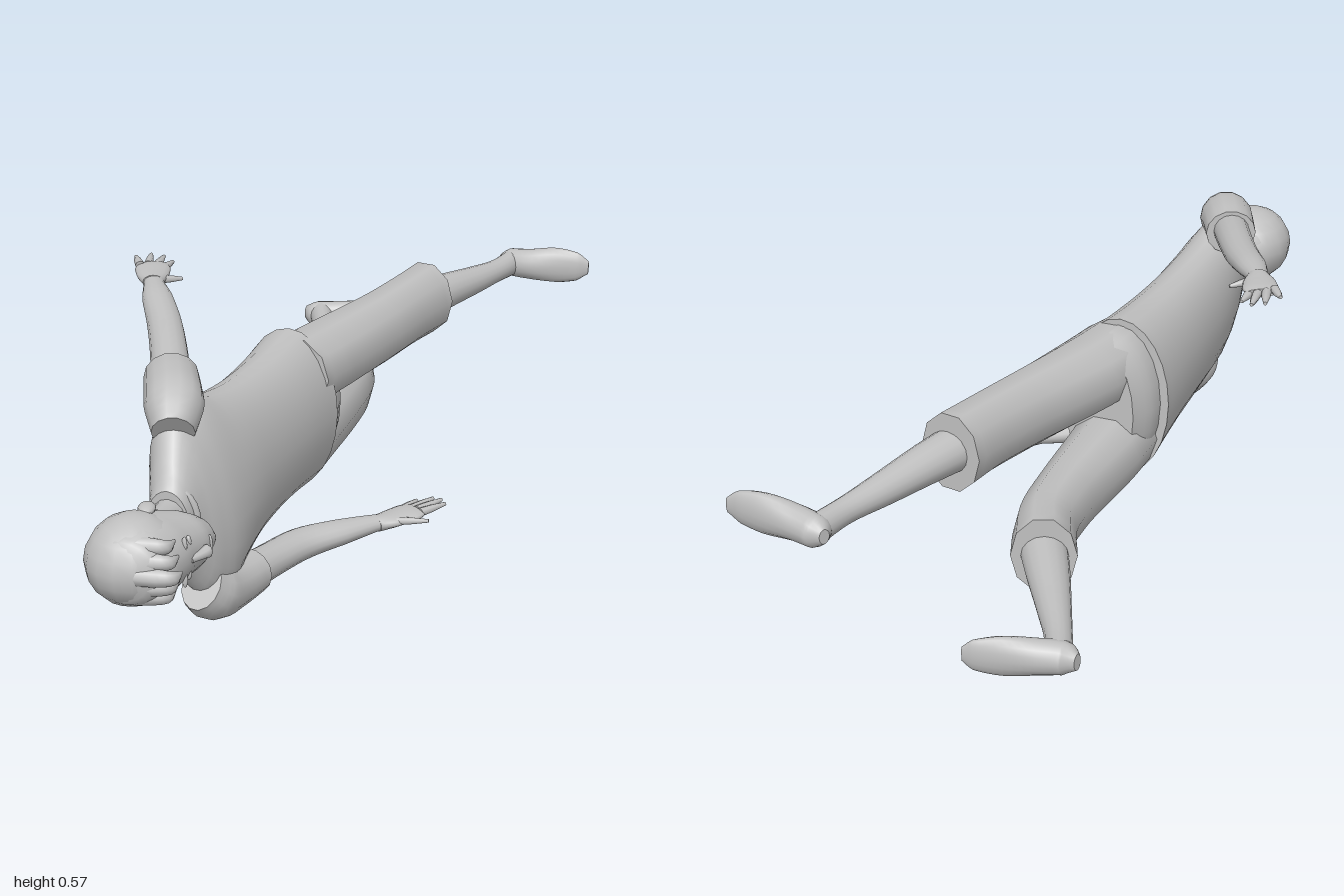
import * as THREE from 'three';
import { mergeGeometries } from 'three/addons/utils/BufferGeometryUtils.js';

// Smooth loft through elliptical sections [x, y, z, radiusAcross, radiusUp, roll].
// Rings follow the path unless a fixed direction is given. Both ends are capped.
function loft(sections, { sides = 16, steps = 4, dir = null } = {}) {
  const path = new THREE.CatmullRomCurve3(sections.map(s => new THREE.Vector3(s[0], s[1], s[2])));
  const size = new THREE.CatmullRomCurve3(sections.map(s => new THREE.Vector3(s[3], s[4] ?? s[3], s[5] ?? 0)));
  const n = (sections.length - 1) * steps;
  const rings = [], centres = [];
  for (let i = 0; i <= n; i++) {
    const c = path.getPoint(i / n), r = size.getPoint(i / n);
    const t = dir ? dir.clone() : path.getTangent(i / n);
    const v = new THREE.Vector3(0, 1, 0).addScaledVector(t, -t.y).normalize().applyAxisAngle(t, r.z);
    const u = v.clone().cross(t);
    centres.push(c);
    rings.push(Array.from({ length: sides }, (_, j) => {
      const a = j / sides * Math.PI * 2;
      return c.clone().addScaledVector(u, Math.cos(a) * r.x).addScaledVector(v, Math.sin(a) * r.y);
    }));
  }
  const make = (points, index) => {
    const g = new THREE.BufferGeometry().setFromPoints(points);
    g.setIndex(index);
    g.computeVertexNormals();
    return g;
  };
  const side = [], first = [], last = [];
  for (let j = 0; j < sides; j++) {
    const k = (j + 1) % sides;
    for (let i = 0; i < n; i++) {
      const a = i * sides, b = a + sides;
      side.push(a + j, a + k, b + k, a + j, b + k, b + j);
    }
    first.push(sides, k, j);
    last.push(sides, j, k);
  }
  return mergeGeometries([
    make(rings.flat(), side),
    make([...rings[0], centres[0]], first),
    make([...rings[n], centres[n]], last),
  ]);
}

export function createModel() {
  const model = new THREE.Group();
  model.name = 'lyingFigure';
  const grey = new THREE.MeshStandardMaterial({ color: 0xc0c0c0 });
  grey.name = 'plainGrey';
  const alongZ = new THREE.Vector3(0, 0, 1);

  const add = (name, geometry) => {
    const mesh = new THREE.Mesh(geometry, grey);
    mesh.name = name;
    model.add(mesh);
    return mesh;
  };
  const ball = (name, p, s) => {
    const mesh = add(name, new THREE.SphereGeometry(1, 16, 10));
    mesh.position.set(...p);
    mesh.scale.set(...s);
    return mesh;
  };

  // Shirt, turned a little at the shoulders
  add('shirt', loft([
    [-0.047, 0.255, -0.018, 0.116, 0.19, 0],
    [-0.047, 0.255, 0.12, 0.106, 0.178, 0.02],
    [-0.047, 0.255, 0.3, 0.096, 0.178, 0.08],
    [-0.044, 0.258, 0.45, 0.093, 0.195, 0.16],
    [-0.042, 0.262, 0.55, 0.084, 0.222, 0.2],
    [-0.042, 0.266, 0.62, 0.068, 0.19, 0.2],
    [-0.042, 0.268, 0.67, 0.054, 0.12, 0.15],
    [-0.042, 0.268, 0.71, 0.046, 0.07, 0],
  ], { sides: 24, dir: alongZ }));
  const collar = add('collar', new THREE.TorusGeometry(0.058, 0.009, 8, 24));
  collar.position.set(-0.038, 0.268, 0.69);
  collar.scale.set(0.85, 1.15, 1);
  collar.rotation.y = 0.25;

  // Sleeves
  add('rightSleeve', loft([
    [-0.062, 0.43, 0.625, 0.045, 0.055],
    [-0.08, 0.468, 0.575, 0.062, 0.062],
    [-0.105, 0.482, 0.52, 0.06, 0.056],
    [-0.135, 0.483, 0.455, 0.058, 0.053],
  ], { sides: 14 }));
  add('leftSleeve', loft([
    [-0.008, 0.1, 0.62, 0.045, 0.055],
    [0.0, 0.068, 0.575, 0.06, 0.062],
    [0.012, 0.057, 0.51, 0.056, 0.056],
    [0.03, 0.056, 0.43, 0.052, 0.05],
  ], { sides: 14 }));

  // Bare arms
  add('rightArm', loft([
    [-0.125, 0.483, 0.48, 0.042, 0.04],
    [-0.18, 0.505, 0.36, 0.04, 0.036],
    [-0.235, 0.523, 0.25, 0.038, 0.032],
    [-0.29, 0.542, 0.155, 0.034, 0.025],
    [-0.328, 0.553, 0.085, 0.023, 0.016],
    [-0.338, 0.556, 0.06, 0.024, 0.013],
  ]));
  add('leftArm', loft([
    [0.025, 0.055, 0.45, 0.042, 0.04],
    [0.045, 0.048, 0.34, 0.042, 0.036],
    [0.075, 0.046, 0.24, 0.044, 0.033],
    [0.135, 0.05, 0.165, 0.038, 0.027],
    [0.2, 0.054, 0.095, 0.023, 0.018],
    [0.215, 0.055, 0.08, 0.023, 0.014],
  ]));

  // Hands: a flat palm, four fingers and a thumb, each given as [base, tip] in x, z
  const hand = (name, y, slope, palm, fingers) => {
    const height = x => y + slope * x;
    add(name + 'Palm', loft(palm.map(([x, z, w, h]) => [x, height(x), z, w, h])));
    fingers.forEach(([x0, z0, x1, z1], i) => {
      const mid = (x0 + x1) / 2;
      add(name + (i ? 'Finger' + i : 'Thumb'), loft([
        [x0, height(x0), z0, 0.011, 0.01],
        [mid, height(mid), (z0 + z1) / 2, 0.009, 0.008],
        [x1, height(x1), z1, 0.004, 0.004],
      ], { sides: 8, steps: 3 }));
    });
  };
  hand('rightHand', 0.505, -0.15,
    [[-0.33, 0.085, 0.023, 0.016], [-0.345, 0.05, 0.036, 0.014], [-0.362, 0.01, 0.04, 0.012], [-0.372, -0.012, 0.034, 0.009]],
    [[-0.325, 0.06, -0.286, 0.022], [-0.345, -0.005, -0.343, -0.062], [-0.362, -0.01, -0.372, -0.08],
      [-0.38, -0.005, -0.4, -0.072], [-0.393, 0.01, -0.422, -0.035]]);
  hand('leftHand', 0.028, 0.125,
    [[0.2, 0.098, 0.023, 0.018], [0.225, 0.068, 0.036, 0.014], [0.252, 0.032, 0.04, 0.012], [0.264, 0.014, 0.034, 0.009]],
    [[0.235, 0.08, 0.315, 0.076], [0.28, 0.026, 0.322, -0.028], [0.268, 0.012, 0.306, -0.052],
      [0.252, 0.008, 0.284, -0.06], [0.235, 0.01, 0.25, -0.045]]);

  // Trousers
  add('hips', loft([
    [-0.045, 0.255, 0.04, 0.098, 0.172],
    [-0.043, 0.255, -0.04, 0.1, 0.176],
    [-0.035, 0.255, -0.11, 0.08, 0.16],
  ], { sides: 20, dir: alongZ.clone().negate() }));
  add('rightTrouserLeg', loft([
    [-0.03, 0.345, 0, 0.092, 0.088],
    [-0.005, 0.345, -0.12, 0.09, 0.087],
    [0.05, 0.35, -0.34, 0.074, 0.086],
    [0.08, 0.356, -0.48, 0.07, 0.086],
    [0.1, 0.358, -0.585, 0.073, 0.089],
  ], { sides: 10 }));
  add('leftTrouserLeg', loft([
    [-0.045, 0.165, 0, 0.092, 0.088],
    [-0.048, 0.16, -0.12, 0.086, 0.086],
    [-0.048, 0.156, -0.34, 0.07, 0.084],
    [-0.062, 0.156, -0.47, 0.067, 0.084],
    [-0.105, 0.156, -0.58, 0.07, 0.088],
  ], { sides: 10 }));

  // Shins
  add('rightShin', loft([
    [0.09, 0.358, -0.53, 0.052, 0.05],
    [0.125, 0.356, -0.64, 0.046, 0.043],
    [0.165, 0.35, -0.77, 0.036, 0.034],
    [0.198, 0.347, -0.88, 0.027, 0.028],
    [0.214, 0.346, -0.96, 0.028, 0.032],
  ]));
  add('leftShin', loft([
    [-0.08, 0.156, -0.53, 0.052, 0.048],
    [-0.14, 0.156, -0.64, 0.046, 0.042],
    [-0.205, 0.157, -0.76, 0.036, 0.034],
    [-0.265, 0.16, -0.875, 0.028, 0.029],
    [-0.29, 0.16, -0.935, 0.03, 0.032],
  ]));

  // Feet, from heel to toe
  add('rightFoot', loft([
    [0.184, 0.346, -0.978, 0.012, 0.016],
    [0.208, 0.346, -0.965, 0.034, 0.034],
    [0.26, 0.349, -0.952, 0.034, 0.038],
    [0.33, 0.354, -0.95, 0.024, 0.045],
    [0.385, 0.356, -0.949, 0.014, 0.037],
    [0.415, 0.355, -0.951, 0.004, 0.016],
  ]));
  add('leftFoot', loft([
    [-0.33, 0.158, -0.935, 0.012, 0.018],
    [-0.3, 0.158, -0.93, 0.034, 0.034],
    [-0.25, 0.156, -0.942, 0.032, 0.038],
    [-0.185, 0.154, -0.962, 0.023, 0.043],
    [-0.13, 0.153, -0.979, 0.012, 0.034],
    [-0.108, 0.153, -0.984, 0.004, 0.016],
  ]));

  // Neck and head, face towards +x
  add('neck', loft([
    [-0.045, 0.267, 0.65, 0.05, 0.062],
    [-0.04, 0.268, 0.72, 0.041, 0.053],
    [-0.035, 0.27, 0.82, 0.043, 0.056],
  ]));
  add('head', loft([
    [0.04, 0.266, 0.727, 0.022, 0.022],
    [0.028, 0.267, 0.745, 0.046, 0.044],
    [0.01, 0.269, 0.785, 0.069, 0.066],
    [-0.017, 0.271, 0.83, 0.092, 0.078],
    [-0.026, 0.272, 0.88, 0.099, 0.085],
    [-0.026, 0.272, 0.93, 0.092, 0.083],
    [-0.026, 0.272, 0.97, 0.068, 0.065],
    [-0.026, 0.272, 0.992, 0.02, 0.02],
  ], { sides: 24, dir: alongZ }));

  // Hair: cap over the crown and back, with a pointed fringe
  ball('hairCap', [-0.036, 0.272, 0.895], [0.098, 0.093, 0.105]);
  for (let i = -2; i <= 2; i++) {
    const y = 0.272 + i * 0.026, back = Math.abs(i) * 0.012;
    add('fringeLock', loft([
      [-0.01, y, 0.975 - back, 0.018, 0.02],
      [0.042 - back, y, 0.967 - back, 0.019, 0.019],
      [0.072 - back, y, 0.958 - back, 0.012, 0.015],
      [0.076 - back, y, 0.925 - back, 0.003, 0.003],
    ], { sides: 8 }));
  }

  // Face
  add('nose', loft([
    [0.068, 0.27, 0.865, 0.008, 0.007],
    [0.08, 0.27, 0.83, 0.012, 0.01],
    [0.084, 0.27, 0.812, 0.012, 0.014],
    [0.074, 0.27, 0.803, 0.006, 0.008],
  ], { sides: 8, dir: alongZ.clone().negate() }));
  ball('mouth', [0.076, 0.268, 0.778], [0.006, 0.022, 0.005]);
  ball('chin', [0.056, 0.266, 0.742], [0.018, 0.02, 0.014]);
  for (const s of [-1, 1]) {
    ball('eye', [0.062, 0.271 + s * 0.034, 0.855], [0.006, 0.013, 0.006]);
    ball('brow', [0.063, 0.271 + s * 0.036, 0.878], [0.006, 0.018, 0.004]);
    ball('ear', [-0.03, 0.271 + s * 0.086, 0.842], [0.018, 0.01, 0.028]).rotation.y = 0.3;
  }
  return model;
}
